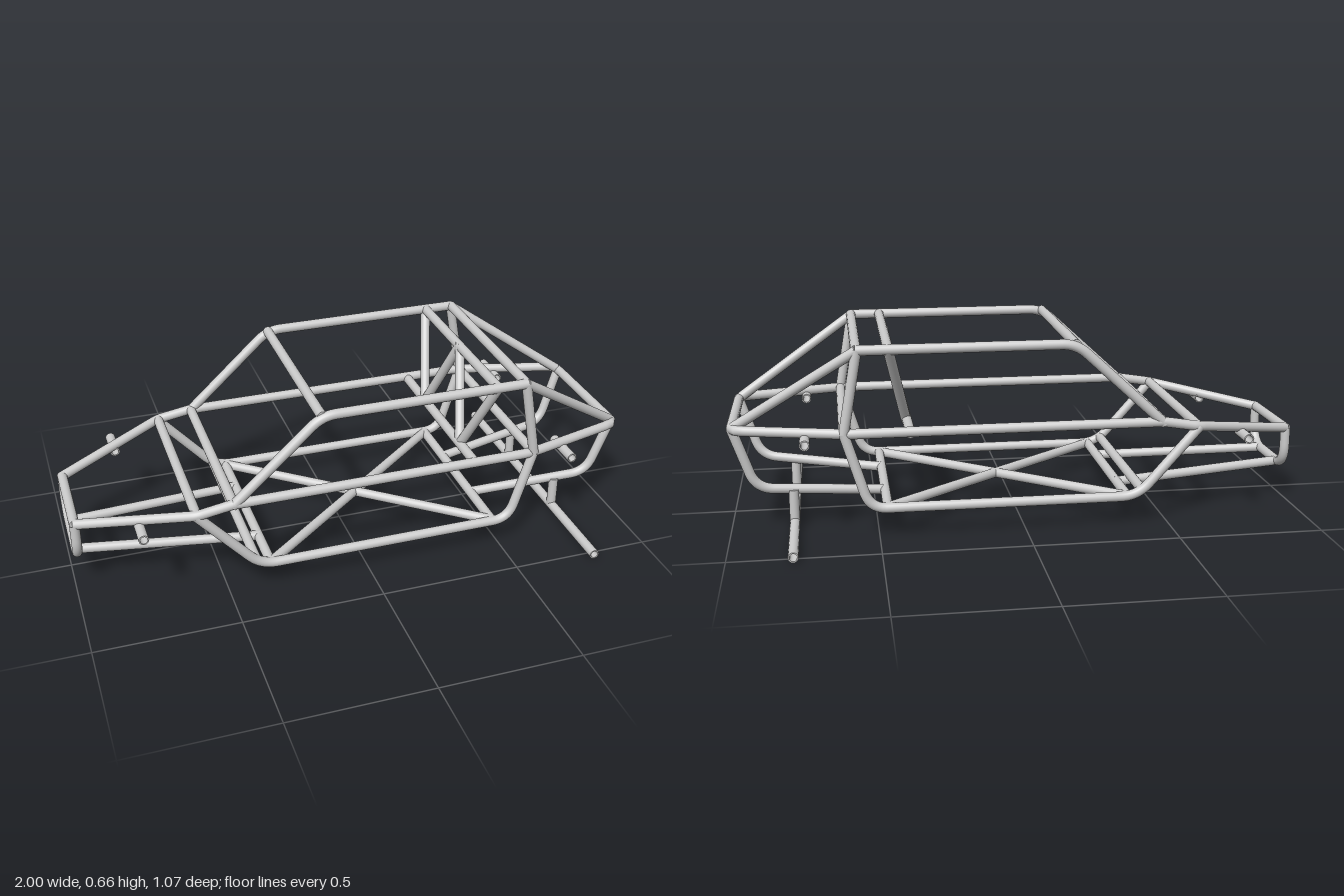
import * as THREE from 'three';

const R = 0.0175;
const material = new THREE.MeshStandardMaterial({ color: 0xcccccc, side: THREE.DoubleSide });
const vec = (p) => new THREE.Vector3(...p);

export function createModel() {
  const model = new THREE.Group();
  model.name = 'tubularChassis';

  const add = (name, geometry) => {
    const mesh = new THREE.Mesh(geometry, material);
    mesh.name = name;
    model.add(mesh);
    return mesh;
  };

  // Straight tube between two points; an inner radius makes it an open pipe
  const bar = (name, from, to, inner = 0) => {
    const a = vec(from), b = vec(to);
    const h = a.distanceTo(b) / 2;
    const geometry = inner
      ? new THREE.LatheGeometry([[inner, -h], [R, -h], [R, -h], [R, h], [R, h], [inner, h], [inner, h], [inner, -h]]
        .map((p) => new THREE.Vector2(...p)), 20)
      : new THREE.CylinderGeometry(R, R, 2 * h, 20);
    const mesh = add(name, geometry);
    mesh.position.copy(a).add(b).multiplyScalar(0.5);
    mesh.quaternion.setFromUnitVectors(new THREE.Vector3(0, 1, 0), b.sub(a).normalize());
  };

  // Bent tube through corner points, each corner rounded by the bend length
  const bentTube = (name, corners, bend) => {
    const pts = corners.map(vec);
    const path = new THREE.CurvePath();
    let start = pts[0];
    for (let i = 1; i < pts.length - 1; i++) {
      const p = pts[i];
      const before = p.clone().add(pts[i - 1].clone().sub(p).setLength(bend));
      const after = p.clone().add(pts[i + 1].clone().sub(p).setLength(bend));
      path.add(new THREE.LineCurve3(start, before));
      path.add(new THREE.QuadraticBezierCurve3(before, p, after));
      start = after;
    }
    path.add(new THREE.LineCurve3(start, pts[pts.length - 1]));
    add(name, new THREE.TubeGeometry(path, 110, R, 18));
  };

  // Crossbar spanning the cabin
  const W = 0.34;
  const crossbar = (name, x, y, w = W) => bar(name, [x, y, -w], [x, y, w]);

  // Side frames, mirrored
  for (const s of [1, -1]) {
    const side = s > 0 ? 'Left' : 'Right';
    bentTube('roofRail' + side, [[-0.48, 0.358, s * W], [-0.168, 0.645, s * W], [0.565, 0.645, s * W]], 0.05);
    bentTube('floorRail' + side,
      [[-0.605, 0.345, s * W], [-0.39, 0.103, s * W], [0.53, 0.103, s * W], [0.61, 0.365, s * W]], 0.06);
    bar('rearPillar' + side, [0.61, 0.365, s * W], [0.56, 0.648, s * W]);
    bentTube('noseRail' + side, [[-0.982, 0.275, s * 0.16], [-0.6, 0.345, s * W], [-0.47, 0.366, s * W]], 0.02);
    bar('noseFloorRail' + side, [-0.982, 0.13, s * 0.09], [-0.35, 0.103, s * 0.17]);
    bar('rearStay' + side, [0.56, 0.645, s * W], [0.975, 0.37, s * 0.215]);
    bentTube('rearFloorHoop' + side,
      [[0.982, 0.365, s * 0.215], [0.91, 0.148, s * 0.2], [0.47, 0.103, s * 0.135]], 0.06);
    bar('axleHanger' + side, [0.785, 0.02, s * 0.19], [0.785, 0.135, s * 0.19]);
    bar('frontStub' + side, [-0.78, 0.293, s * 0.24], [-0.78, 0.293, s * 0.35], 0.013);
    bar('rearStub' + side, [0.738, 0.345, s * 0.25], [0.738, 0.345, s * 0.39], 0.013);
    bar('floorBrace' + side, [-0.36, 0.103, s * W], [0.48, 0.103, -s * W]);
  }

  // Waist rail running round the tail
  bentTube('waistRail', [[-0.48, 0.365, W], [0.6, 0.365, W], [0.982, 0.365, 0.24],
    [0.982, 0.365, -0.24], [0.6, 0.365, -W], [-0.48, 0.365, -W]], 0.035);

  // Nose hoop
  bentTube('noseHoop', [[-0.982, 0.275, 0.162], [-0.982, 0.13, 0.162],
    [-0.982, 0.13, -0.162], [-0.982, 0.275, -0.162]], 0.085);
  crossbar('noseBar', -0.982, 0.275, 0.165);

  // Crossbars
  crossbar('scuttleBar', -0.6, 0.345);
  crossbar('dashBar', -0.475, 0.365);
  crossbar('footBar', -0.405, 0.125);
  crossbar('frontFloorBar', -0.355, 0.103);
  crossbar('rearFloorBar', 0.47, 0.103);
  crossbar('roofFrontBar', -0.168, 0.643);
  crossbar('roofMiddleBar', 0.457, 0.645);
  crossbar('roofRearBar', 0.562, 0.645);
  crossbar('seatBar', 0.39, 0.36);
  crossbar('waistRearBar', 0.61, 0.365);

  // W brace behind the seats
  const zigzag = [[0.457, 0.645, W], [0.392, 0.355, 0.19], [0.457, 0.65, 0], [0.392, 0.355, -0.15], [0.457, 0.645, -W]];
  for (let i = 0; i < 4; i++) bar('seatBrace' + (i + 1), zigzag[i], zigzag[i + 1]);

  // Rear axle tube
  bar('rearAxle', [0.785, 0.0185, -0.537], [0.785, 0.0185, 0.537], 0.013);

  return model;
}
